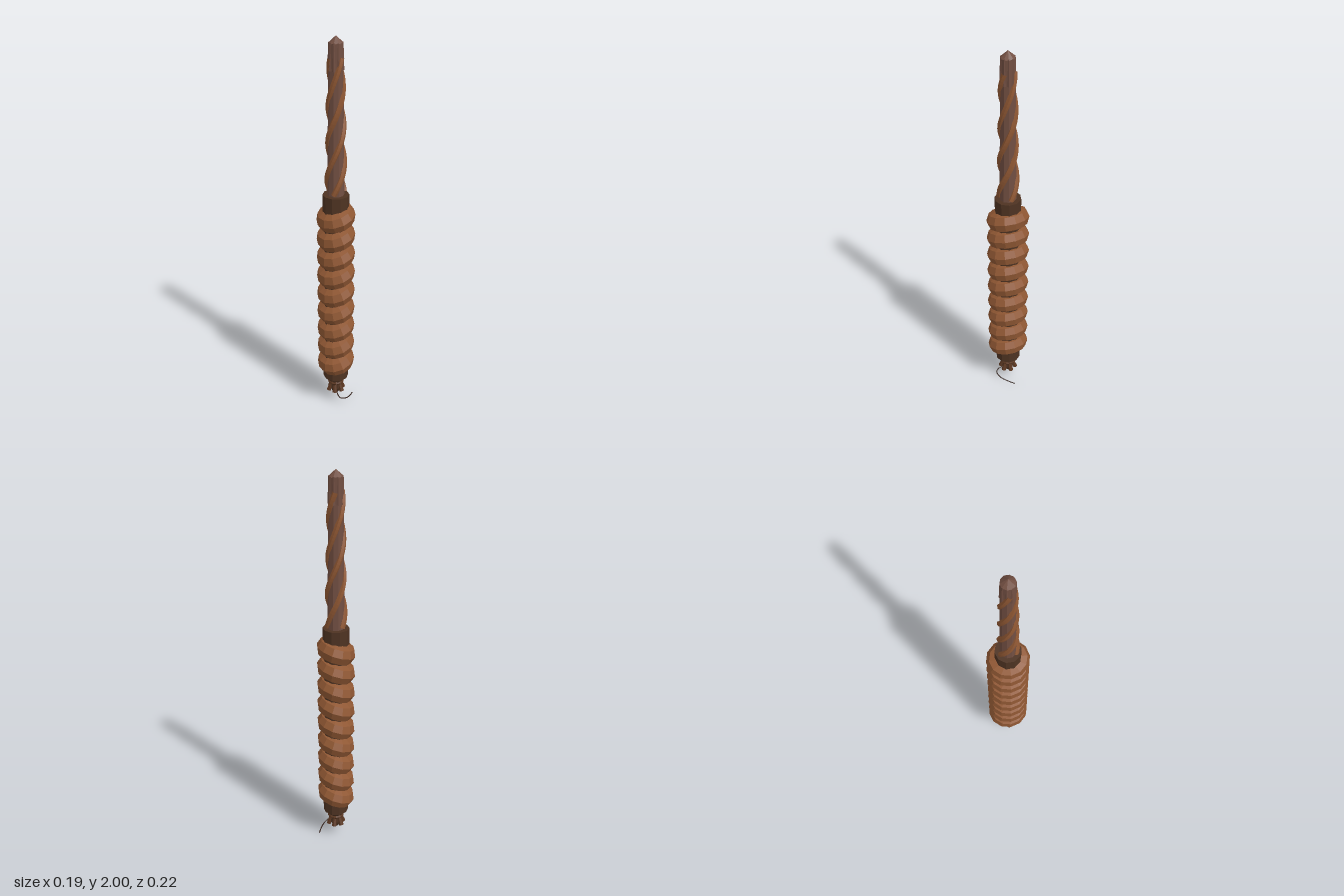
import * as THREE from 'three';

const mat = (name, color) => {
  const m = new THREE.MeshStandardMaterial({ color, flatShading: true });
  m.name = name;
  return m;
};

export function createModel() {
  const group = new THREE.Group();
  const coil = mat('warm brown', 0x8f5733);
  const grip = mat('dark brown', 0x4e3322);
  const horn = mat('grey brown', 0x724f42);
  const knot = mat('knot brown', 0x5c3822);
  const hair = mat('near black brown', 0x33211a);

  const add = (name, geometry, material, x = 0, y = 0, z = 0) => {
    const mesh = new THREE.Mesh(geometry, material);
    mesh.name = name;
    mesh.position.set(x, y, z);
    group.add(mesh);
    return mesh;
  };

  // Handle core, showing as a collar at both ends
  add('handleCore', new THREE.CylinderGeometry(0.066, 0.066, 1.07, 10), grip, 0, 0.685);

  // Nine tilted rings wrapped round the handle
  const ring = new THREE.TorusGeometry(0.058, 0.052, 8, 12);
  ring.rotateX(Math.PI / 2);
  ring.rotateZ(0.27);
  ring.scale(0.9, 1, 1);
  for (let i = 0; i < 9; i++) add('gripRing' + (i + 1), ring, coil, 0, 0.253 + i * 0.1055);

  // Tapered spike
  add('spike', new THREE.CylinderGeometry(0.034, 0.042, 0.75, 10), horn, 0, 1.59);

  // Fluted head and pointed tip
  const head = new THREE.CylinderGeometry(0.035, 0.039, 0.13, 20);
  const p = head.attributes.position;
  for (let i = 0; i < p.count; i++) {
    const a = Math.atan2(p.getX(i), p.getZ(i));
    const k = Math.round((a / (Math.PI * 2)) * 20) % 2 ? 0.84 : 1;
    p.setX(i, p.getX(i) * k);
    p.setZ(i, p.getZ(i) * k);
  }
  head.computeVertexNormals();
  add('flutedHead', head, horn, 0, 1.905);
  add('tip', new THREE.ConeGeometry(0.035, 0.032, 10), horn, 0, 1.984);

  // Three strands twisting up the spike
  for (let s = 0; s < 3; s++) {
    const points = [];
    for (let i = 0; i <= 24; i++) {
      const t = i / 24;
      const a = t * Math.PI * 2.4 + (s * Math.PI * 2) / 3 - 0.6;
      const r = 0.043 - 0.013 * t;
      points.push(new THREE.Vector3(r * Math.sin(a), 1.23 + 0.67 * t, r * Math.cos(a)));
    }
    add('twistedStrand' + (s + 1),
      new THREE.TubeGeometry(new THREE.CatmullRomCurve3(points), 40, 0.014, 6), coil);
  }

  // Neck, binding and pointed end under the handle
  const profile = [[0, 0.155], [0.047, 0.155], [0.047, 0.135], [0.036, 0.12], [0.03, 0.1],
    [0.032, 0.075], [0.024, 0.055], [0, 0.028]];
  add('endNeck', new THREE.LatheGeometry(
    profile.map(([r, y]) => new THREE.Vector2(r, y)).reverse(), 10), grip);
  const binding = add('binding', new THREE.TorusGeometry(0.033, 0.011, 6, 10), knot, 0, 0.115);
  binding.rotation.x = Math.PI / 2;

  // Flared tufts
  for (let i = 0; i < 6; i++) {
    const a = (i / 6) * Math.PI * 2 + Math.PI / 6;
    const tuft = add('tuft' + (i + 1), new THREE.CylinderGeometry(0.009, 0.013, 0.05, 6), knot,
      0.032 * Math.sin(a), 0.084, 0.032 * Math.cos(a));
    tuft.rotation.set(0, a, 0);
    tuft.rotateX(-0.35);
  }

  // Thin loose thread curling from the end
  const thread = new THREE.CatmullRomCurve3([
    [0, 0.06, 0.01], [-0.008, 0.055, 0.045], [0, 0.042, 0.07],
    [0.035, 0.03, 0.065], [0.07, 0.018, 0.035], [0.095, 0.004, 0],
  ].map((v) => new THREE.Vector3(...v)));
  add('looseThread', new THREE.TubeGeometry(thread, 20, 0.003, 5), hair);

  return group;
}
